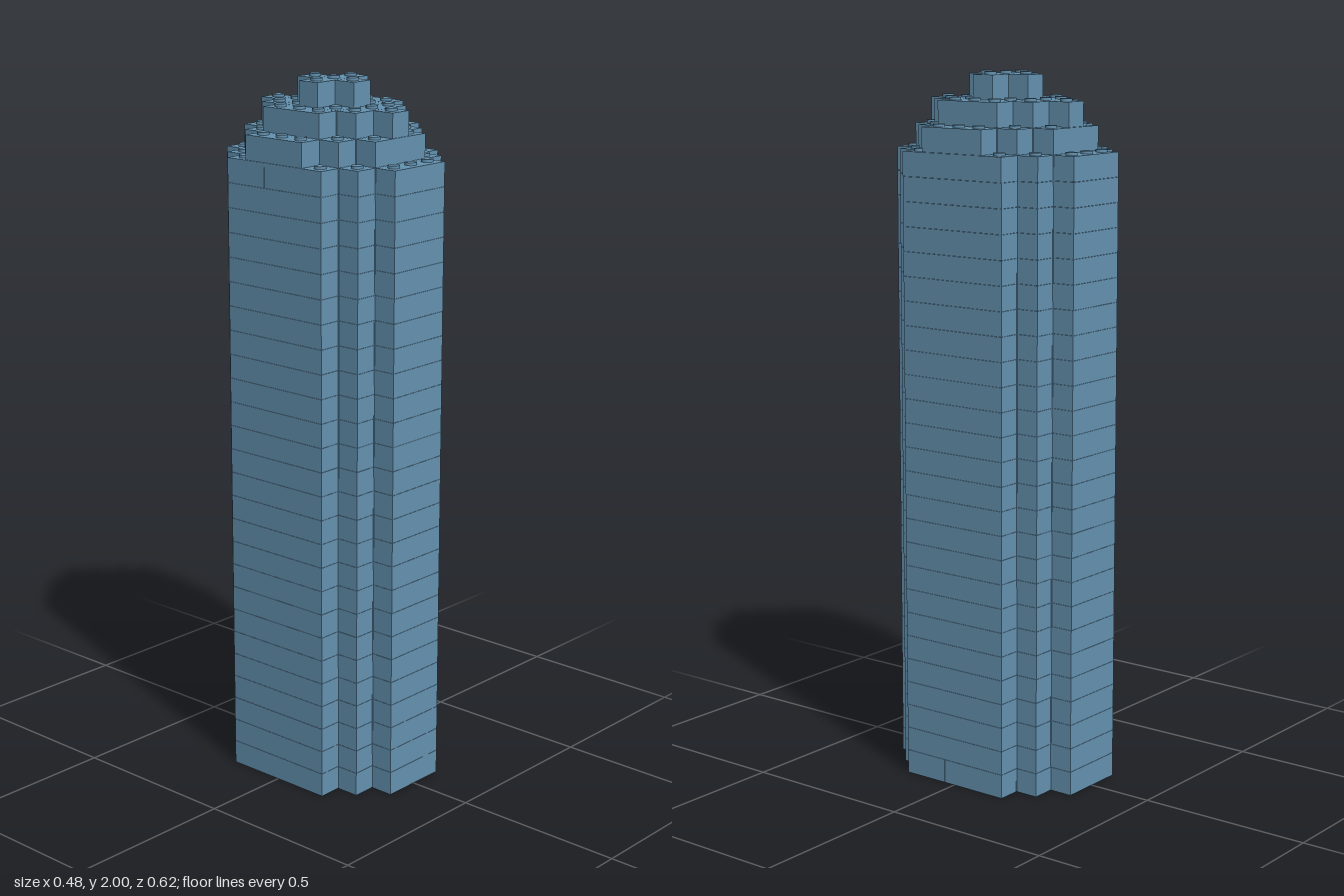
import * as THREE from 'three';

const P = 0.0687;        // stud pitch, also the height of one course
const GAP = 0.0014;      // thin seam between bricks
const WALL_COURSES = 26;

export function createModel() {
  const tower = new THREE.Group();
  tower.name = 'brickTower';
  const blue = new THREE.MeshStandardMaterial({ color: 0x6593b2 });
  blue.name = 'dustyBlue';

  const studGeometry = new THREE.CylinderGeometry(0.0165, 0.0165, 0.0077, 20);

  // One brick covering grid cells x0..x1 by z0..z1
  function brick(parent, course, x0, x1, z0, z1) {
    const mesh = new THREE.Mesh(
      new THREE.BoxGeometry((x1 - x0 + 1) * P - GAP, P - GAP / 2, (z1 - z0 + 1) * P - GAP), blue);
    mesh.position.set((x0 + x1) / 2 * P, (course + 0.5) * P + (course ? GAP / 4 : -GAP / 4 + GAP / 2), (z0 + z1) / 2 * P);
    mesh.name = 'brick';
    parent.add(mesh);
  }

  // A brick and its copy turned half round the tower axis
  function pair(parent, course, x0, x1, z0, z1) {
    brick(parent, course, x0, x1, z0, z1);
    brick(parent, course, -x1, -x0, -z1, -z0);
  }

  // Hollow shaft, two bricks thick, with stepped corners
  for (let c = 0; c < WALL_COURSES; c++) {
    const course = new THREE.Group();
    course.name = 'wallCourse' + (c + 1);
    pair(course, c, -1, 1, 4, 4);
    pair(course, c, -1, 1, 3, 3);
    pair(course, c, -2, -2, 3, 3);
    pair(course, c, 2, 2, 3, 3);
    pair(course, c, -2, -1, 2, 2);
    pair(course, c, 1, 2, 2, 2);
    pair(course, c, 2, 2, 1, 1);
    pair(course, c, 2, 2, -1, -1);
    // Long side bricks, split once at the foot and once at the top
    const split = { 0: 1, [WALL_COURSES - 1]: -1 }[c];
    for (const s of [1, -1]) {
      if (s === split) {
        brick(course, c, 3 * s, 3 * s, s > 0 ? 1 : -2, s > 0 ? 2 : -1);
        brick(course, c, 3 * s, 3 * s, s > 0 ? -2 : 0, s > 0 ? 0 : 2);
      } else brick(course, c, 3 * s, 3 * s, -2, 2);
    }
    tower.add(course);
  }

  // Lower crown step
  const lower = new THREE.Group();
  lower.name = 'lowerCrown';
  pair(lower, 26, -1, 1, 3, 3);
  pair(lower, 26, -1, 1, 2, 2);
  pair(lower, 26, -2, -2, 2, 2);
  pair(lower, 26, 2, 2, 2, 2);
  pair(lower, 26, 3, 3, -1, 1);
  brick(lower, 26, -2, 2, -1, 1);
  tower.add(lower);

  // Middle crown step
  const middle = new THREE.Group();
  middle.name = 'middleCrown';
  pair(middle, 27, 0, 0, 3, 3);
  pair(middle, 27, -1, 1, 2, 2);
  pair(middle, 27, 2, 2, -1, 1);
  brick(middle, 27, -1, 1, -1, 1);
  tower.add(middle);

  // Cross-shaped cap
  const cap = new THREE.Group();
  cap.name = 'cap';
  brick(cap, 28, -1, 1, 0, 0);
  pair(cap, 28, 0, 0, 1, 1);
  tower.add(cap);

  // Half width in cells of each row |z| = 0..4, per step from the cap down
  const steps = [
    [29, [1, 0]],
    [28, [2, 2, 1, 0]],
    [27, [3, 3, 2, 1]],
    [26, [3, 3, 3, 2, 1]],
  ];
  const studs = new THREE.Group();
  studs.name = 'studs';
  for (let z = -4; z <= 4; z++) {
    for (let x = -3; x <= 3; x++) {
      const step = steps.find(([, rows]) => Math.abs(x) <= (rows[Math.abs(z)] ?? -1));
      if (!step) continue;
      const stud = new THREE.Mesh(studGeometry, blue);
      stud.name = 'stud';
      stud.position.set(x * P, step[0] * P + 0.00385, z * P);
      studs.add(stud);
    }
  }
  tower.add(studs);
  return tower;
}
